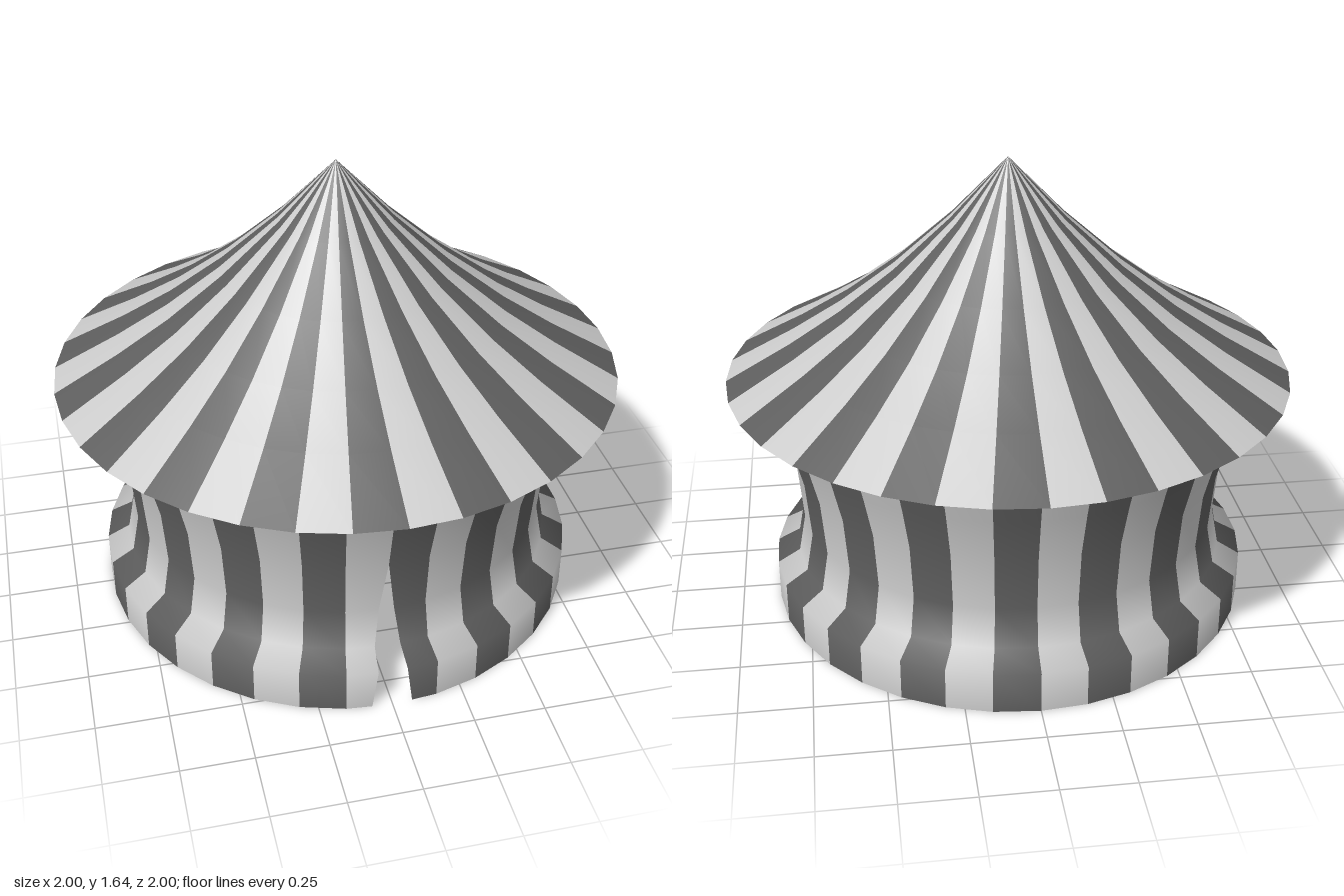
import * as THREE from 'three';

const light = new THREE.MeshStandardMaterial({ color: 0xcccccc, side: THREE.DoubleSide });
const dark = new THREE.MeshStandardMaterial({ color: 0x5e5e5e, side: THREE.DoubleSide });

const lathe = (profile, panels) =>
  new THREE.LatheGeometry(profile.map(([r, y]) => new THREE.Vector2(r, y)), panels);

// Splits a lathed cloth into alternating light and dark panels
function stripedCloth(name, geometry, panels, evenMaterial, oddMaterial) {
  const group = new THREE.Group();
  group.name = name;
  const index = Array.from(geometry.index.array);
  const perPanel = index.length / panels;
  [evenMaterial, oddMaterial].forEach((material, parity) => {
    const half = geometry.clone();
    half.setIndex(index.filter((_, k) => Math.floor(k / perPanel) % 2 === parity));
    const mesh = new THREE.Mesh(half, material);
    mesh.name = name + (material === light ? 'LightStripes' : 'DarkStripes');
    group.add(mesh);
  });
  return group;
}

// Draws the two seam edges apart along their panels into a pointed slit
function openDoor(geometry, rows, panels, halfWidth, height) {
  const pos = geometry.attributes.position;
  const seam = new THREE.Vector3(), next = new THREE.Vector3();
  for (const [column, neighbour] of [[0, 1], [panels, panels - 1]]) {
    for (let j = 0; j < rows; j++) {
      const k = column * rows + j;
      seam.fromBufferAttribute(pos, k);
      next.fromBufferAttribute(pos, neighbour * rows + j);
      const opening = halfWidth * Math.max(0, 1 - seam.y / height);
      seam.lerp(next, opening / Math.abs(next.x));
      pos.setXYZ(k, seam.x, seam.y, seam.z);
    }
  }
}

export function createModel() {
  const tent = new THREE.Group();
  tent.name = 'tent';

  // Curved wall with a flared skirt; its top edge tucks under the roof
  const wallProfile = [
    [0.866, 0], [0.866, 0.15], [0.785, 0.195], [0.758, 0.335],
    [0.775, 0.54], [0.815, 0.7], [0.862, 0.86], [0.88, 0.925],
  ];
  const wallPanels = 34;
  const wall = lathe(wallProfile, wallPanels);
  openDoor(wall, wallProfile.length, wallPanels, 0.07, 0.54);
  tent.add(stripedCloth('wall', wall, wallPanels, dark, light));

  // Sagging conical roof with a wide overhang
  const roofPanels = 36;
  const roof = lathe([
    [1, 0.86], [0.77, 0.99], [0.59, 1.105], [0.4, 1.25], [0.2, 1.43], [0, 1.64],
  ], roofPanels);
  tent.add(stripedCloth('roof', roof, roofPanels, light, dark));

  return tent;
}
